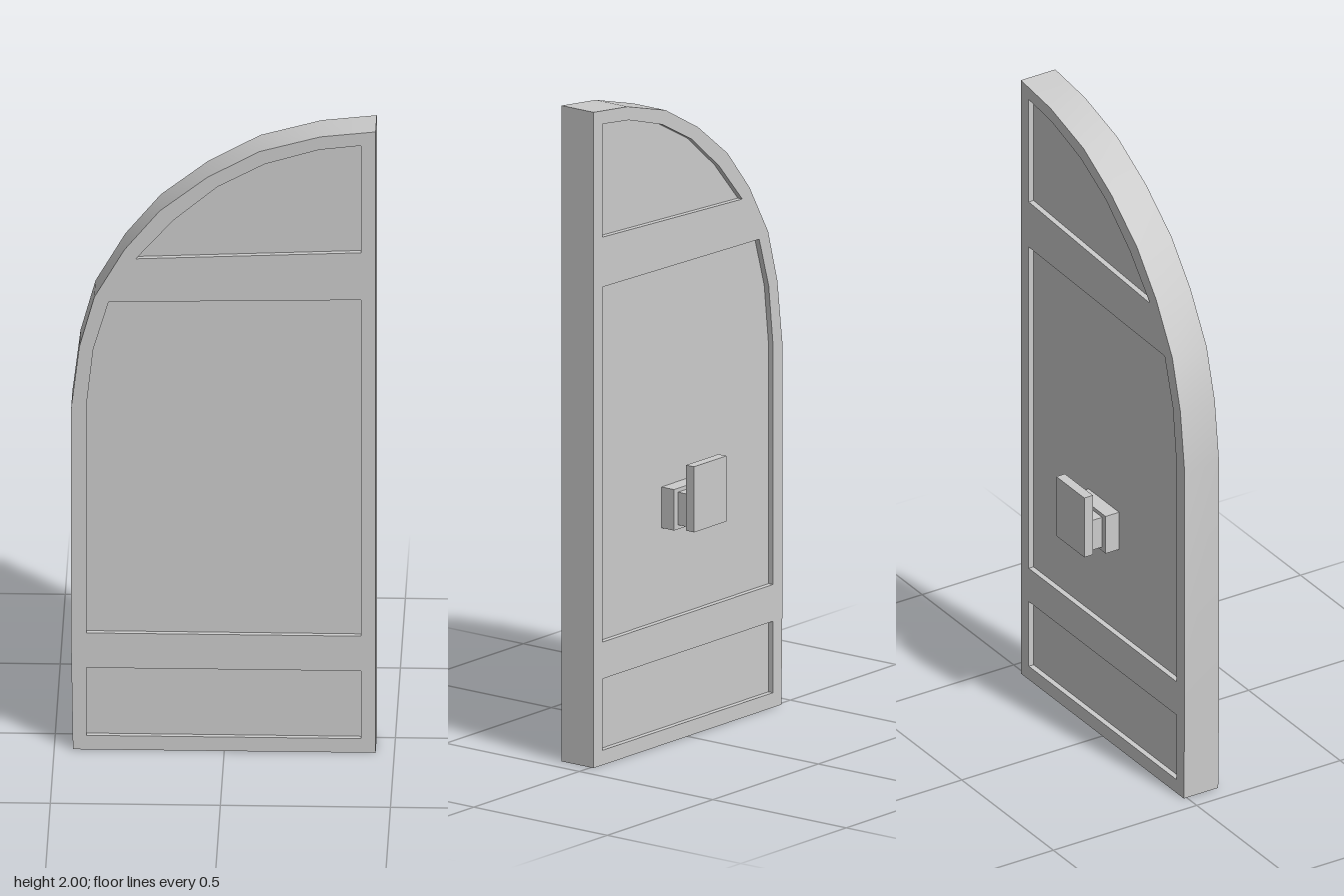
import * as THREE from 'three';
import { toCreasedNormals } from 'three/addons/utils/BufferGeometryUtils.js';

const BACK = -0.01, FRONT = 0.11, RECESS = 0.017;

export function createModel() {
  const group = new THREE.Group();
  const material = new THREE.MeshStandardMaterial({ color: 0xcccccc });

  const add = (name, geometry) => {
    const mesh = new THREE.Mesh(geometry, material);
    mesh.name = name;
    group.add(mesh);
  };
  const points = (list) => list.map(([x, y]) => new THREE.Vector2(x, y));
  const extrude = (shape, z0, z1) => {
    const geometry = new THREE.ExtrudeGeometry(shape, { depth: z1 - z0, bevelEnabled: false });
    return toCreasedNormals(geometry.translate(0, 0, z0), 0.6);
  };
  const box = (name, x0, x1, y0, y1, z0, z1) => add(name,
    new THREE.BoxGeometry(x1 - x0, y1 - y0, z1 - z0)
      .translate((x0 + x1) / 2, (y0 + y1) / 2, (z0 + z1) / 2));

  // Half-arched outline of the door leaf
  const outline = points([
    [-0.445, 0], [0.445, 0], [0.445, 2], [0.4, 1.995], [0.283, 1.982], [0.103, 1.932],
    [-0.05, 1.847], [-0.19, 1.737], [-0.294, 1.61], [-0.382, 1.457], [-0.426, 1.297],
    [-0.45, 1.1], [-0.45, 0.32],
  ]);

  // Openings in the frame, each filled by a thinner panel
  const openings = {
    lowerPanel: points([[-0.405, 0.045], [0.402, 0.045], [0.402, 0.263], [-0.405, 0.263]]),
    middlePanel: points([
      [-0.405, 0.375], [0.402, 0.375], [0.402, 1.458], [-0.34, 1.442], [-0.385, 1.29], [-0.405, 1.11],
    ]),
    upperPanel: points([
      [-0.26, 1.582], [0.402, 1.61], [0.402, 1.955], [0.278, 1.94], [0.119, 1.892],
      [-0.02, 1.817], [-0.15, 1.707],
    ]),
  };

  const frame = new THREE.Shape(outline);
  for (const [name, corners] of Object.entries(openings)) {
    frame.holes.push(new THREE.Path(corners));
    add(name, extrude(new THREE.Shape(corners), BACK + RECESS, FRONT - RECESS));
  }
  add('doorFrame', extrude(frame, BACK, FRONT));

  // Handle on the back: mounting plate, neck and grip
  box('handleMount', -0.065, 0.102, 0.655, 0.78, -0.04, BACK + RECESS);
  box('handleNeck', -0.046, 0.083, 0.668, 0.768, -0.08, -0.04);
  box('handleGrip', -0.058, 0.095, 0.66, 0.86, -0.11, -0.08);

  return group;
}
